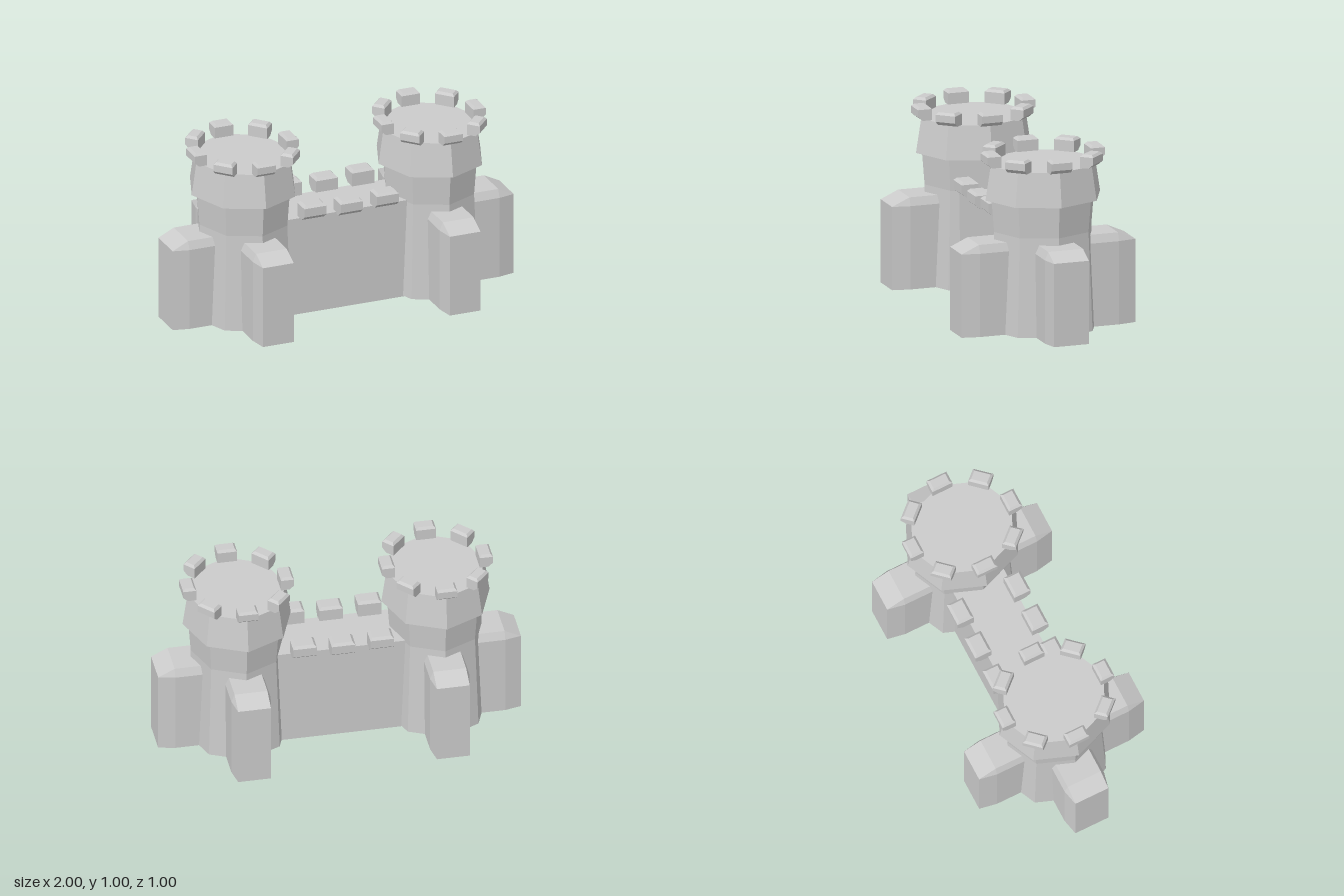
import * as THREE from 'three';
import { ConvexGeometry } from 'three/addons/geometries/ConvexGeometry.js';

const material = new THREE.MeshStandardMaterial({ color: 0xcccccc, flatShading: true });

function addMesh(parent, name, geometry) {
  const mesh = new THREE.Mesh(geometry, material);
  mesh.name = name;
  parent.add(mesh);
  return mesh;
}

// Convex solid from [x, y, z] points mirrored across x = 0
function mirroredHull(points) {
  return new ConvexGeometry(points.flatMap(([x, y, z]) => [
    new THREE.Vector3(x, y, z), new THREE.Vector3(-x, y, z),
  ]));
}

// Battlement block, outer side facing +z: bevelled top, undercut outer foot
function merlonGeometry(w, d, h, bevel) {
  return mirroredHull([
    [w, 0, -d], [w, 0, d * 0.3],
    [w, h * 0.3, d],
    [w, h - bevel, d], [w, h - bevel, -d],
    [w - bevel, h, d - bevel], [w - bevel, h, -d + bevel],
  ]);
}

// Buttress running out along +z with tapered end and chamfered top
function buttressGeometry() {
  return mirroredHull([
    [0.12, 0.005, 0.12], [0.12, 0.47, 0.12], [0.1, 0.515, 0.12],
    [0.12, 0.005, 0.4], [0.12, 0.47, 0.4], [0.1, 0.515, 0.4],
    [0.1, 0.005, 0.5], [0.1, 0.47, 0.5],
  ]);
}

function createTower(side) {
  const tower = new THREE.Group();
  tower.name = side > 0 ? 'leftTower' : 'rightTower';

  // Octagonal shaft with the flared battlement drum
  const profile = [
    [0, 0.005], [0.305, 0.005], [0.28, 0.555], [0.295, 0.735],
    [0.33, 0.735], [0.3, 0.925], [0, 0.925],
  ].map(([r, y]) => new THREE.Vector2(r, y));
  addMesh(tower, 'towerBody', new THREE.LatheGeometry(profile, 8));

  // Buttresses on the front, back and outer side
  const buttress = buttressGeometry();
  for (const angle of [0, Math.PI, side * Math.PI / 2]) {
    addMesh(tower, 'buttress', buttress).rotation.y = angle;
  }

  // Ring of eight merlons on the corners
  const merlon = merlonGeometry(0.06, 0.04, 0.075, 0.013);
  for (let i = 0; i < 8; i++) {
    const angle = i * Math.PI / 4;
    const mesh = addMesh(tower, 'towerMerlon', merlon);
    mesh.rotation.y = angle;
    mesh.position.set(Math.sin(angle) * 0.298, 0.925, Math.cos(angle) * 0.298);
  }

  tower.position.x = side * 0.548;
  tower.scale.x = 0.904;
  return tower;
}

export function createModel() {
  const model = new THREE.Group();
  model.name = 'castleGate';

  // Curtain wall between the towers
  addMesh(model, 'wall', new THREE.BoxGeometry(1.1, 0.565, 0.305)).position.y = 0.2825;

  // Merlons along both edges of the wall, the middle pair slightly lower
  const merlon = merlonGeometry(0.065, 0.049, 0.09, 0.014);
  for (const [x, drop] of [[-0.21, 0], [0.003, 0.01], [0.215, 0]]) {
    for (const side of [1, -1]) {
      const mesh = addMesh(model, 'wallMerlon', merlon);
      mesh.position.set(x, 0.565 - drop, side > 0 ? 0.165 : -0.18);
      if (side < 0) mesh.rotation.y = Math.PI;
    }
  }

  for (const side of [1, -1]) model.add(createTower(side));
  return model;
}
